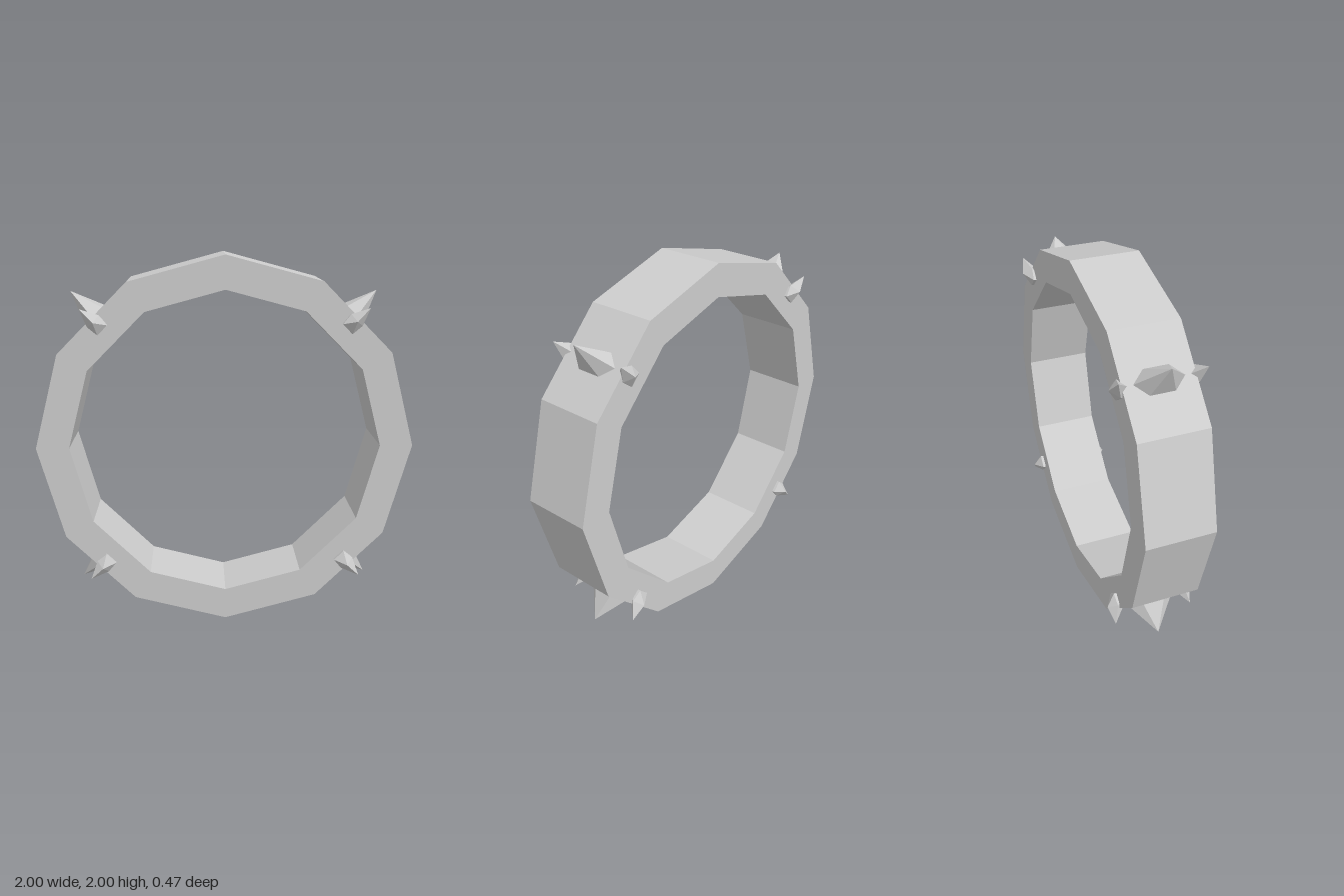
import * as THREE from 'three';
import { ConvexGeometry } from 'three/addons/geometries/ConvexGeometry.js';

export function createModel() {
  const model = new THREE.Group();
  const metal = new THREE.MeshStandardMaterial({ color: 0xcccccc });
  metal.name = 'light grey metal';
  metal.flatShading = true;

  const add = (parent, geometry, name) => {
    const mesh = new THREE.Mesh(geometry, metal);
    mesh.name = name;
    parent.add(mesh);
    return mesh;
  };

  // Twelve-sided band standing upright
  const polygon = (radius) => Array.from({ length: 12 }, (_, i) => {
    const a = i * Math.PI / 6;
    return new THREE.Vector2(radius * Math.cos(a), radius * Math.sin(a));
  });
  const outline = new THREE.Shape(polygon(1));
  outline.holes.push(new THREE.Path(polygon(0.826)));
  const band = new THREE.ExtrudeGeometry(outline, { depth: 0.36, bevelEnabled: false });
  band.translate(0, 1, -0.18);
  add(model, band, 'band');

  // Large spike: flattened six-sided cone, wide across the band
  const large = new THREE.ConeGeometry(0.13, 0.18, 6);
  large.scale(0.57, 1, 1);
  large.translate(0, 1.05, 0);

  // Small spike hugging the rim edge; side is +1 or -1 in z
  const small = (side) => new ConvexGeometry([
    [0, 1.04, 0.215], [0, 0.945, 0.236],
    [0.043, 0.95, 0.19], [-0.043, 0.95, 0.19],
    [0.036, 0.885, 0.195], [-0.036, 0.885, 0.195],
    [0.036, 0.885, 0.13], [-0.036, 0.885, 0.13],
    [0, 0.96, 0.15],
  ].map(([t, r, z]) => new THREE.Vector3(t, r, z * side)));
  const smallFront = small(1);
  const smallBack = small(-1);

  // One cluster of three spikes on each diagonal
  for (let i = 0; i < 4; i++) {
    const cluster = new THREE.Group();
    cluster.name = 'spikeCluster';
    cluster.position.y = 1;
    cluster.rotation.z = Math.PI / 4 + i * Math.PI / 2;
    add(cluster, large, 'largeSpike');
    add(cluster, smallFront, 'frontSmallSpike');
    add(cluster, smallBack, 'backSmallSpike');
    model.add(cluster);
  }
  return model;
}
